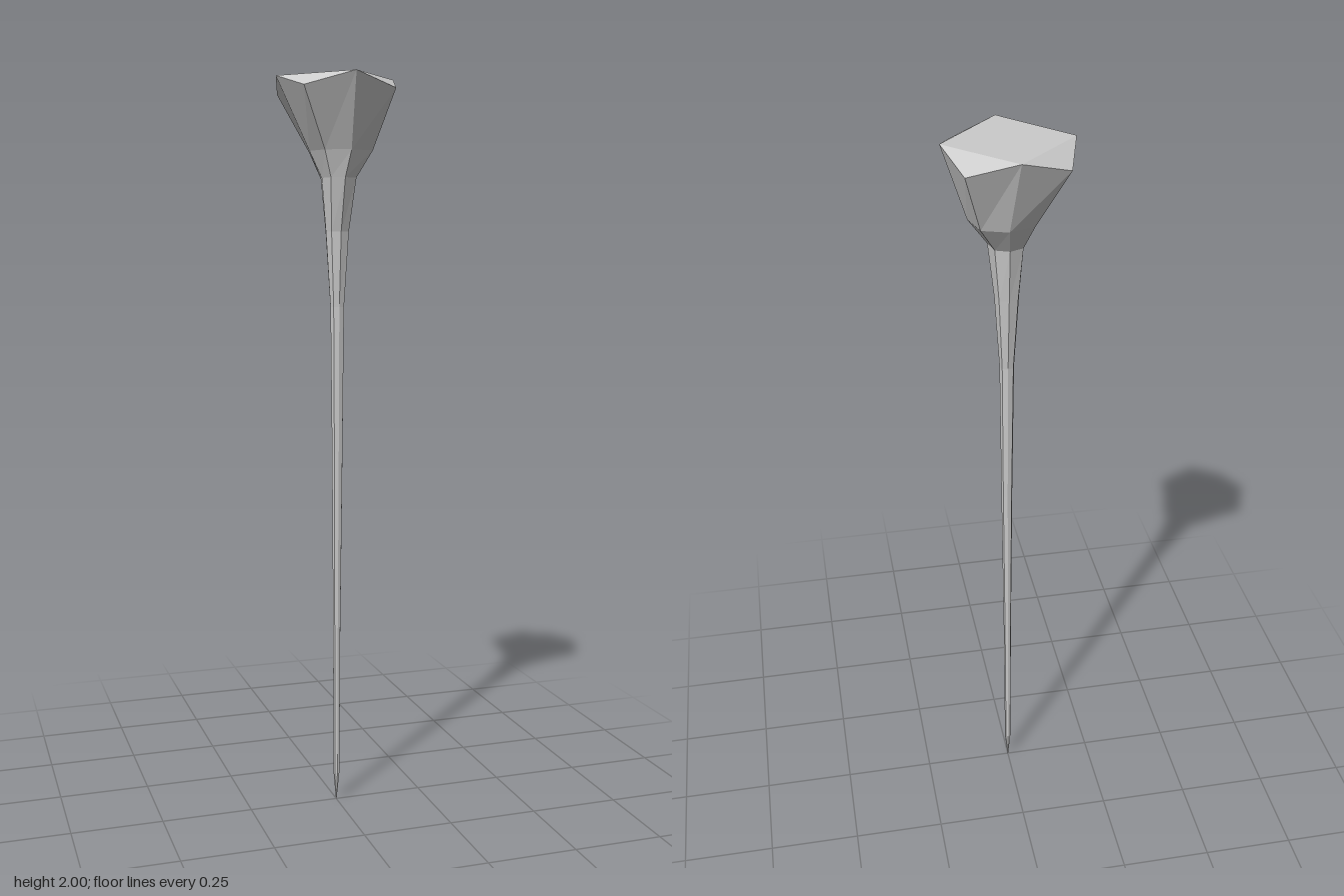
import * as THREE from 'three';

const SIDES = 8;

// Rings from rim to point: [y, xMin, xMax, zMin, zMax]
const RINGS = [
  [2.0, -0.162, 0.162, -0.17, 0.168],
  [1.81, -0.072, 0.1, -0.1, 0.088],
  [1.74, -0.042, 0.05, -0.053, 0.066],
  [1.6, -0.028, 0.035, -0.038, 0.032],
  [1.4, -0.016, 0.022, -0.02, 0.018],
  [1.0, -0.012, 0.018, -0.014, 0.013],
  [0.5, -0.009, 0.012, -0.01, 0.009],
  [0.08, -0.008, 0.009, -0.009, 0.009],
  [0.0, -0.001, 0.001, -0.001, 0.001],
];

// Eight corners of a ring; odd ones are the diagonals, pulled slightly outward
function ringPoints([y, x0, x1, z0, z1], dip) {
  const points = [];
  for (let i = 0; i < SIDES; i++) {
    const a = (i / SIDES) * Math.PI * 2;
    const k = i % 2 ? 1.08 : 1;
    points.push(new THREE.Vector3(
      (x0 + x1) / 2 + Math.cos(a) * k * (x1 - x0) / 2,
      i % 2 ? y - dip : y,
      (z0 + z1) / 2 + Math.sin(a) * k * (z1 - z0) / 2,
    ));
  }
  // Side corners sit a little behind the middle on the rim
  if (dip) [0, 1, 3, 4, 5, 7].forEach((i) => { points[i].z -= 0.008; });
  return points;
}

function meshFrom(name, points, indices, material) {
  const indexed = new THREE.BufferGeometry().setFromPoints(points);
  indexed.setIndex(indices);
  const geometry = indexed.toNonIndexed();
  geometry.computeVertexNormals();
  const mesh = new THREE.Mesh(geometry, material);
  mesh.name = name;
  return mesh;
}

// Skin between consecutive rings
function loft(name, rings, material) {
  const indices = [];
  for (let r = 0; r < rings.length - 1; r++) {
    for (let i = 0; i < SIDES; i++) {
      const j = (i + 1) % SIDES;
      const a = r * SIDES + i, b = r * SIDES + j;
      const c = a + SIDES, d = b + SIDES;
      indices.push(a, b, d, a, d, c);
    }
  }
  return meshFrom(name, rings.flat(), indices, material);
}

export function createModel() {
  const group = new THREE.Group();
  group.name = 'spike';
  const material = new THREE.MeshStandardMaterial({
    color: 0xcccccc, flatShading: true, side: THREE.DoubleSide,
  });
  const rings = RINGS.map((ring, i) => ringPoints(ring, i === 0 ? 0.035 : 0));

  // Flared head and long tapering shaft
  group.add(loft('head', rings.slice(0, 3), material));
  group.add(loft('shaft', rings.slice(2), material));

  // Faceted top: flat middle with four corners folded down
  const top = [0, 4, 2, 0, 6, 4];
  for (let i = 0; i < SIDES; i += 2) top.push(i, (i + 2) % SIDES, i + 1);
  group.add(meshFrom('top', rings[0], top, material));
  return group;
}
